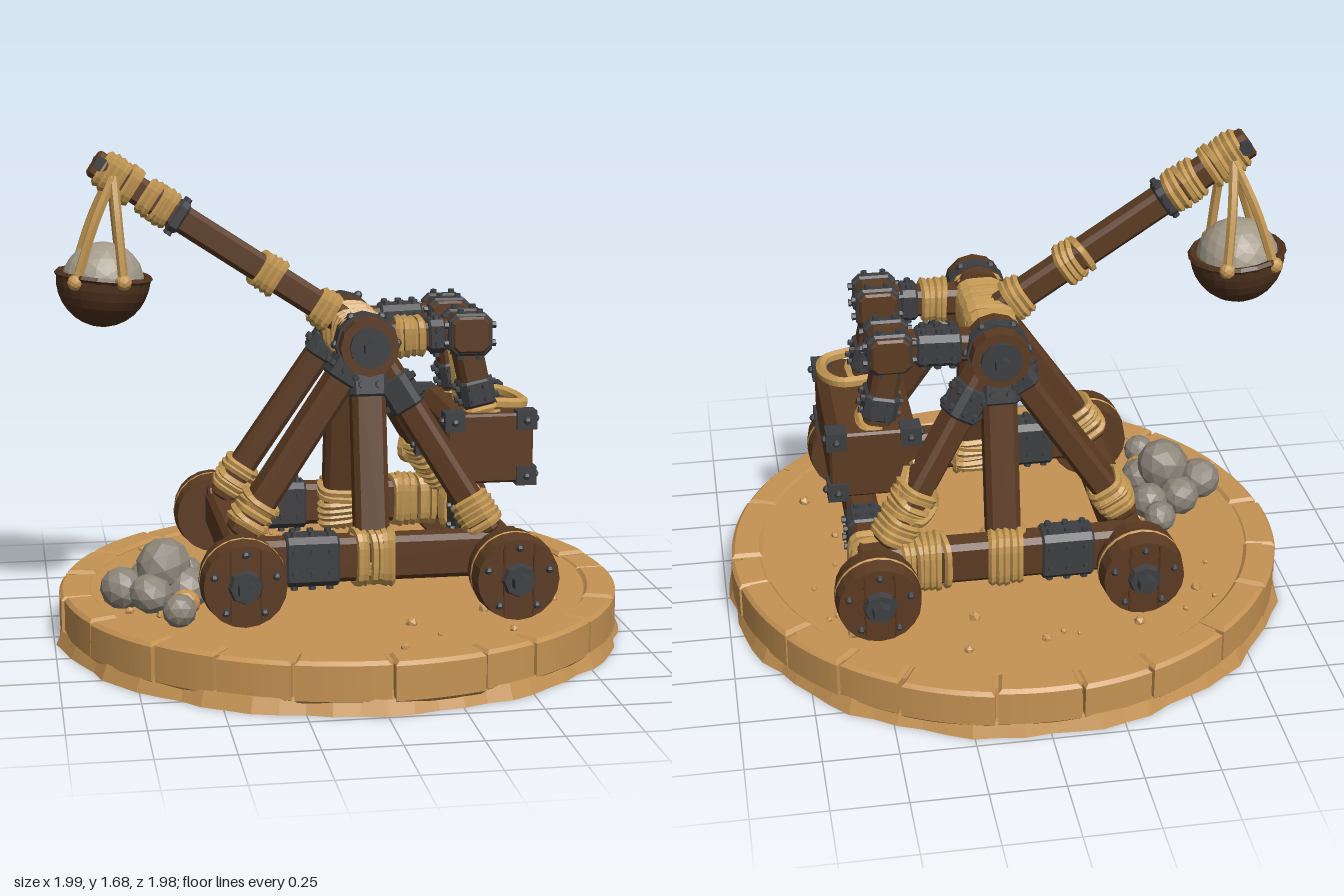
import * as THREE from 'three';

const flat = (name, color) => {
  const m = new THREE.MeshStandardMaterial({ color, flatShading: true });
  m.name = name;
  return m;
};
const V = (x, y, z) => new THREE.Vector3(x, y, z);

export function createModel() {
  const model = new THREE.Group();
  model.name = 'siegeEngine';
  const wood = flat('wood', 0x5c3b22), bark = flat('darkWood', 0x4f321d);
  const iron = flat('iron', 0x3e3f42), rope = flat('rope', 0xc39853);
  const sand = flat('sandstone', 0xc59353), stone = flat('stone', 0x8b8478), pale = flat('paleStone', 0xa39a88);
  bark.side = THREE.DoubleSide;
  let seed = 7;
  const rnd = (a = 0, b = 1) => {
    seed = (seed * 16807) % 2147483647;
    return a + (b - a) * seed / 2147483647;
  };

  const add = (parent, name, geo, mat, x = 0, y = 0, z = 0) => {
    const m = new THREE.Mesh(geo, mat);
    m.name = name;
    m.position.set(x, y, z);
    parent.add(m);
    return m;
  };

  // Bar with cut corners, running along +z from z0 to z1
  const barGeo = (w, h, z0, z1) => {
    const c = Math.min(w, h) * 0.13, b = 0.008, x = w / 2 - b, y = h / 2 - b;
    const s = new THREE.Shape([
      [-x + c, -y], [x - c, -y], [x, -y + c], [x, y - c],
      [x - c, y], [-x + c, y], [-x, y - c], [-x, -y + c]].map(p => new THREE.Vector2(...p)));
    return new THREE.ExtrudeGeometry(s, { depth: z1 - z0 - 2 * b, bevelEnabled: true, bevelSize: b, bevelThickness: b, bevelSegments: 1 })
      .translate(0, 0, z0 + b);
  };

  // Rounded-square rope turns around the z axis
  const wrap = (g, z, n, w, h) => {
    for (let i = 0; i < n; i++) {
      const k = 1 + rnd(0, 0.12), tilt = rnd(-0.012, 0.012), pts = [];
      for (let j = 0; j < 12; j++) {
        const t = j / 12 * Math.PI * 2, c = Math.cos(t), s = Math.sin(t);
        const sq = v => Math.sign(v) * Math.pow(Math.abs(v), 0.5);
        pts.push(V(sq(c) * (w / 2 + 0.006) * k, sq(s) * (h / 2 + 0.006) * k, tilt * c));
      }
      add(g, 'ropeTurn', new THREE.TubeGeometry(new THREE.CatmullRomCurve3(pts, true), 24, 0.014, 5, true), rope,
        0, 0, z + (i - (n - 1) / 2) * 0.023);
    }
  };

  // Iron sleeve with studs on all four sides
  const strap = (g, z0, z1, w, h) => {
    add(g, 'ironStrap', barGeo(w + 0.02, h + 0.02, z0, z1), iron);
    const n = Math.max(1, Math.round((z1 - z0) / 0.06));
    for (let i = 0; i < n; i++) {
      const z = z0 + (i + 0.5) * (z1 - z0) / n;
      for (const s of [-1, 1]) for (const o of [-0.25, 0.25]) {
        add(g, 'stud', new THREE.CylinderGeometry(0.011, 0.013, 0.02, 6), iron, o * w, s * (h / 2 + 0.014), z);
        add(g, 'stud', new THREE.CylinderGeometry(0.011, 0.013, 0.02, 6).rotateZ(Math.PI / 2), iron, s * (w / 2 + 0.014), o * h, z);
      }
    }
  };

  // Timber from a to b, with rope [distance, turns] and straps [start, end]
  const timber = (name, a, b, w, h, ropes = [], straps = []) => {
    const g = new THREE.Group(), d = b.clone().sub(a), len = d.length();
    d.normalize();
    const up = Math.abs(d.y) > 0.999 ? V(0, 0, 1) : V(0, 1, 0);
    const x = up.cross(d).normalize(), y = d.clone().cross(x);
    g.name = name;
    g.quaternion.setFromRotationMatrix(new THREE.Matrix4().makeBasis(x, y, d));
    g.position.copy(a);
    add(g, name + 'Wood', barGeo(w, h, 0, len), wood);
    ropes.forEach(([z, n]) => wrap(g, z, n, w, h));
    straps.forEach(([z0, z1]) => strap(g, z0, z1, w, h));
    model.add(g);
    return g;
  };
  const cord = (name, pts, r = 0.014) => add(model, name,
    new THREE.TubeGeometry(new THREE.CatmullRomCurve3(pts), 24, r, 6), rope);
  const rock = (name, r, x, y, z, mat) => {
    const m = add(model, name, new THREE.IcosahedronGeometry(r, r > 0.03 ? 1 : 0), mat, x, y, z);
    m.scale.set(rnd(0.92, 1.08), rnd(0.88, 1), rnd(0.92, 1.08));
    m.rotation.set(rnd(0, 3), rnd(0, 3), rnd(0, 3));
  };

  // Round base: ragged foot, floor and ring of blocks
  const foot = new THREE.CylinderGeometry(0.965, 0.985, 0.05, 72);
  const fp = foot.attributes.position;
  for (let i = 0; i < fp.count; i++) {
    const t = Math.atan2(fp.getZ(i), fp.getX(i));
    const k = 1 + 0.009 * Math.sin(t * 13) + 0.006 * Math.sin(t * 29 + 1);
    fp.setX(i, fp.getX(i) * k);
    fp.setZ(i, fp.getZ(i) * k);
  }
  add(model, 'baseFoot', foot, sand, 0, 0.025, 0);
  add(model, 'baseFloor', new THREE.CylinderGeometry(0.935, 0.95, 0.155, 64), sand, 0, 0.0825, 0);
  const cuts = [0];
  while (cuts[cuts.length - 1] < 5.95) cuts.push(cuts[cuts.length - 1] + rnd(0.2, 0.38));
  cuts[cuts.length - 1] = Math.PI * 2;
  for (let i = 0; i < cuts.length - 1; i++) {
    const a = cuts[i] + 0.018, b = cuts[i + 1] - 0.018, r = rnd(0.952, 0.968);
    const s = new THREE.Shape();
    s.absarc(0, 0, r, a, b, false);
    s.absarc(0, 0, 0.875, b, a, true);
    const geo = new THREE.ExtrudeGeometry(s, { depth: rnd(0.108, 0.12), bevelSize: 0.012, bevelThickness: 0.012, bevelSegments: 1, curveSegments: 5 });
    add(model, 'rimBlock', geo.rotateX(-Math.PI / 2), sand, 0, 0.044, 0);
  }
  for (let i = 0; i < 36; i++) {
    const t = rnd(0, 6.28), r = rnd(0.5, 0.85);
    rock('pebble', rnd(0.008, 0.024), r * Math.cos(t), 0.165, r * Math.sin(t), sand);
  }

  // Wheels: two discs with a rope band between and an iron hub
  const wheel = (x, zMid, side, thick) => {
    const g = new THREE.Group();
    g.name = 'wheel';
    g.position.set(x, 0.305, zMid);
    if (side < 0) g.rotation.y = Math.PI;
    const disc = (n, r0, r1, l, z, mat, sides = 20) =>
      add(g, n, new THREE.CylinderGeometry(r0, r1, l, sides).rotateX(Math.PI / 2), mat, 0, 0, z);
    const t = thick * 0.42;
    disc('outerDisc', 0.138, 0.146, t, thick / 2 - t / 2, wood);
    disc('innerDisc', 0.146, 0.138, t, -thick / 2 + t / 2, wood);
    disc('wheelCore', 0.125, 0.125, thick * 0.5, 0, bark);
    add(g, 'wheelRope', new THREE.TorusGeometry(0.13, 0.016, 6, 28), rope);
    disc('hubPlate', 0.052, 0.06, 0.025, thick / 2 + 0.01, iron, 8);
    disc('hubNut', 0.03, 0.034, 0.055, thick / 2 + 0.03, iron, 6);
    for (let i = 0; i < 5; i++) {
      const a = i * Math.PI * 0.4 + 0.3;
      add(g, 'wheelStud', new THREE.SphereGeometry(0.014, 6, 4), iron, 0.108 * Math.cos(a), 0.108 * Math.sin(a), thick / 2);
    }
    for (const o of [-0.05, 0.05])
      add(g, 'plankSeam', new THREE.BoxGeometry(0.006, 0.24, 0.006), bark, o, 0, thick / 2);
    model.add(g);
  };
  wheel(-0.39, 0.455, 1, 0.16);
  wheel(0.51, 0.51, 1, 0.16);
  wheel(-0.39, -0.5, -1, 0.15);
  wheel(0.51, -0.53, -1, 0.14);

  // Chassis
  timber('frontRail', V(-0.42, 0.345, 0.365), V(0.56, 0.345, 0.365), 0.1, 0.15, [[0.48, 6]], [[0.18, 0.36]]);
  timber('backRail', V(-0.42, 0.345, -0.41), V(0.56, 0.345, -0.41), 0.1, 0.15, [[0.48, 5], [0.76, 7]], [[0.18, 0.36]]);
  timber('leftCrossBeam', V(0.51, 0.33, -0.46), V(0.51, 0.33, 0.44), 0.11, 0.14, [[0.12, 4]], [[0.24, 0.36]]);
  timber('rightCrossBeam', V(-0.37, 0.335, -0.46), V(-0.37, 0.335, 0.42), 0.11, 0.14);

  // Leaning posts, braces and pivot heads on both sides
  for (const s of [1, -1]) {
    const top = s > 0 ? 0.225 : -0.255, low = s > 0 ? 0.355 : -0.385;
    timber('post', V(0.06, 0.28, low), V(0.06, 1.02, top), 0.115, 0.1, [[0.07, 6]], [[0.6, 0.68]]);
    timber('rightBrace', V(-0.38, 0.41, s > 0 ? 0.26 : -0.3), V(0.03, 1.02, top), 0.12, 0.09, [[0.09, 5]], [[0.62, 0.7]]);
    timber('leftBrace', V(0.46, 0.41, low), V(0.09, 1.02, top), 0.1, 0.09, [[s > 0 ? 0.08 : 0.12, s > 0 ? 5 : 9]], [[0.5, 0.62]]);
    const head = (n, r, l, z, mat, sides) =>
      add(model, n, new THREE.CylinderGeometry(r, r, l, sides).rotateX(Math.PI / 2), mat, 0.06, 1.045, z);
    head('pivotHead', 0.1, 0.16, top, wood, 12);
    head('pivotBand', 0.107, 0.05, top, iron, 12);
    head('pivotPlate', 0.07, 0.02, top + s * 0.085, iron, 12);
    head('pivotBolt', 0.028, 0.06, top + s * 0.1, iron, 6);
    for (let i = 0; i < 6; i++) {
      const a = i * Math.PI / 3;
      add(model, 'headStud', new THREE.SphereGeometry(0.016, 6, 4), iron, 0.06 + 0.106 * Math.cos(a), 1.045 + 0.106 * Math.sin(a), top);
    }
  }

  // Rope drum on the axle
  timber('axle', V(0.06, 1.045, -0.3), V(0.06, 1.045, 0.28), 0.13, 0.13, [[0.2, 6], [0.3, 4], [0.42, 6]]);

  // Throwing arm
  timber('throwingArm', V(0.08, 1.045, -0.03), V(-0.83, 1.645, -0.03), 0.085, 0.095,
    [[0.15, 3], [0.38, 4], [0.83, 5], [0.99, 6]], [[0.73, 0.77]]);
  add(model, 'tipPin', new THREE.CylinderGeometry(0.025, 0.025, 0.12, 8).rotateX(Math.PI / 2), iron, -0.805, 1.64, -0.03);

  // Sling bowl with its stone
  const bowl = new THREE.Group();
  bowl.name = 'bowl';
  bowl.position.set(-0.8, 1.25, -0.06);
  bowl.rotation.z = -0.1;
  const profile = [];
  for (let i = 0; i <= 8; i++) {
    const a = i / 8 * Math.PI / 2;
    profile.push(new THREE.Vector2(0.162 * Math.sin(a), -0.17 * Math.cos(a)));
  }
  profile.push(new THREE.Vector2(0.158, 0.012), new THREE.Vector2(0.14, 0.01));
  add(bowl, 'bowlShell', new THREE.LatheGeometry(profile, 24), bark);
  add(bowl, 'bowlRim', new THREE.TorusGeometry(0.157, 0.012, 5, 18).rotateX(Math.PI / 2), bark, 0, 0.005, 0);
  add(bowl, 'bowlStone', new THREE.IcosahedronGeometry(0.142, 3), pale, 0, -0.02, 0);
  model.add(bowl);
  for (const [x, z, tz] of [[-0.74, 0.085, 0.03], [-0.73, -0.2, -0.09], [-0.9, 0.06, 0.03], [-0.9, -0.18, -0.09]]) {
    cord('slingRope', [V(-0.765, 1.6, tz), V((x - 0.77) / 2, 1.44, (z + tz) / 2 + Math.sign(z) * 0.01), V(x, 1.24, z)], 0.017);
    add(model, 'slingKnot', new THREE.IcosahedronGeometry(0.028, 1), rope, x, 1.25, z);
  }

  // Fork, heads and hangers carrying the counterweight
  for (const [z, ropes, straps] of [[0.15, [[0.14, 4]], [[0.2, 0.26]]], [-0.205, [], [[0.1, 0.25]]]]) {
    timber('fork', V(0.08, 1.05, z), V(0.4, 1.06, z), 0.1, 0.095, ropes, straps);
    timber('forkHead', V(0.42, 1.065, z - 0.09), V(0.42, 1.065, z + 0.09), 0.13, 0.125, [], [[0.02, 0.06], [0.13, 0.17]]);
    timber('hanger', V(0.41, 1.06, z), V(0.475, 0.76, z), 0.12, 0.095, [[0.285, 2]], [[0.16, 0.25]]);
  }
  const box = new THREE.Group();
  box.name = 'counterweight';
  box.position.set(0.485, 0.675, -0.02);
  add(box, 'counterweightBox', barGeo(0.3, 0.24, -0.28, 0.28), wood);
  for (const x of [-1, 1]) for (const y of [-1, 1]) for (const z of [-1, 1]) {
    add(box, 'cornerIron', new THREE.BoxGeometry(0.07, 0.065, 0.07), iron, x * 0.125, y * 0.097, z * 0.255);
    add(box, 'cornerStud', new THREE.SphereGeometry(0.014, 6, 4), iron, x * 0.162, y * 0.097, z * 0.255);
    add(box, 'cornerStud', new THREE.SphereGeometry(0.014, 6, 4), iron, x * 0.125, y * 0.097, z * 0.292);
  }
  model.add(box);
  cord('lidRope', [V(0.46, 0.83, 0.02), V(0.56, 0.83, 0.01), V(0.615, 0.82, 0.1), V(0.6, 0.82, 0.21), V(0.5, 0.83, 0.24)], 0.02);
  cord('hangingRope', [V(0.4, 1.06, -0.2), V(0.41, 1.0, -0.06), V(0.42, 0.92, -0.02), V(0.43, 0.79, -0.02)], 0.02);
  cord('looseRope', [V(0.35, 0.68, -0.3), V(0.31, 0.6, -0.36), V(0.3, 0.53, -0.36), V(0.36, 0.5, -0.41), V(0.4, 0.58, -0.38), V(0.37, 0.65, -0.3)], 0.022);

  // Pile of shot
  [[0.1, -0.63, 0.29, 0.19], [0.075, -0.77, 0.22, 0.19], [0.075, -0.67, 0.22, 0.08], [0.07, -0.55, 0.22, 0.06],
    [0.075, -0.56, 0.22, 0.23], [0.075, -0.68, 0.22, 0.27], [0.06, -0.6, 0.21, 0.45], [0.06, -0.57, 0.21, -0.04]]
    .forEach(([r, x, y, z]) => rock('shot', r, x, y, z, stone));
  rock('sandRock', 0.05, -0.57, 0.2, 0.33, sand);

  return model;
}
